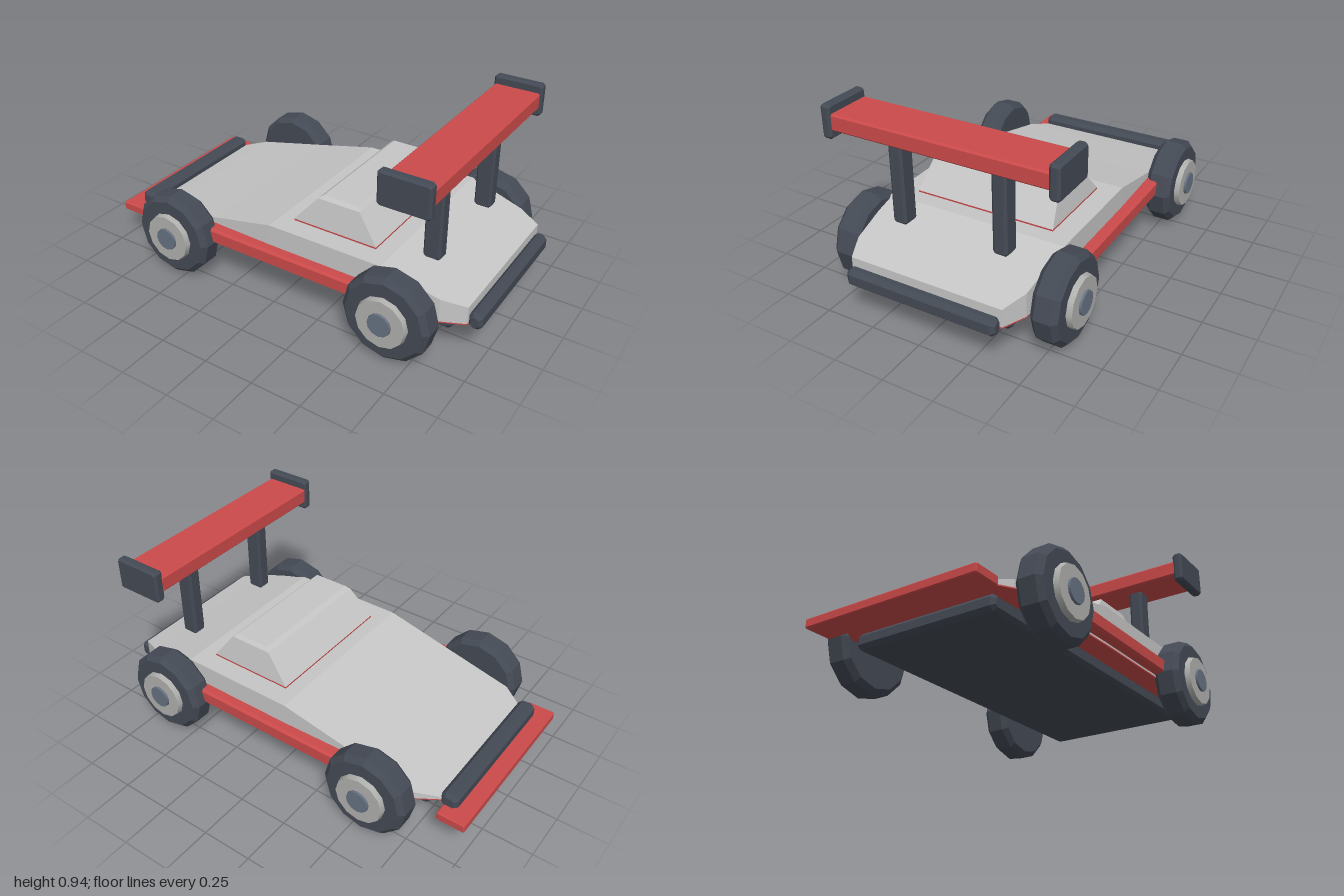
import * as THREE from 'three';

const mat = (name, color) => {
  const m = new THREE.MeshStandardMaterial({ color });
  m.name = name;
  return m;
};

// Box with chamfered edges, given by its min and max on each axis
function chamferBox([x0, x1], [y0, y1], [z0, z1], c) {
  const w = (x1 - x0) / 2, h = (y1 - y0) / 2, d = z1 - z0;
  const s = new THREE.Shape([
    [-w + c, -h], [w - c, -h], [w, -h + c], [w, h - c],
    [w - c, h], [-w + c, h], [-w, h - c], [-w, -h + c],
  ].map(([x, y]) => new THREE.Vector2(x, y)));
  const g = new THREE.ExtrudeGeometry(s, {
    depth: d - 2 * c, bevelEnabled: true, bevelSegments: 1,
    bevelThickness: c, bevelSize: c * 0.8, bevelOffset: -c * 0.8,
  });
  return g.translate((x0 + x1) / 2, (y0 + y1) / 2, z0 + c);
}

// Flat-shaded skin through closed rings of points, with end caps
function loft(rings) {
  const pos = [];
  const tri = (...pts) => pts.forEach((p) => pos.push(...p));
  const n = rings[0].length;
  for (let i = 0; i < rings.length - 1; i++) {
    for (let j = 0; j < n; j++) {
      const k = (j + 1) % n;
      const a = rings[i][j], b = rings[i + 1][j], c = rings[i + 1][k], d = rings[i][k];
      tri(a, b, c);
      tri(a, c, d);
    }
  }
  const first = rings[0], last = rings[rings.length - 1];
  for (let j = 1; j < n - 1; j++) {
    tri(first[0], first[j], first[j + 1]);
    tri(last[0], last[j + 1], last[j]);
  }
  const g = new THREE.BufferGeometry();
  g.setAttribute('position', new THREE.Float32BufferAttribute(pos, 3));
  g.computeVertexNormals();
  return g;
}

export function createModel() {
  const car = new THREE.Group();
  car.name = 'raceCar';
  const grey = mat('bodyGrey', 0xc6c6c6);
  const rimGrey = mat('rimGrey', 0xb0b0ae);
  const dark = mat('darkTrim', 0x444a55);
  const capBlue = mat('capBlueGrey', 0x667282);
  const red = mat('red', 0xcc4a4a);
  const add = (name, geo, m, parent = car) => {
    const mesh = new THREE.Mesh(geo, m);
    mesh.name = name;
    parent.add(mesh);
    return mesh;
  };

  // Wedge body: x, top height, half width
  const stations = [
    [-0.85, 0.215, 0.37], [-0.74, 0.24, 0.44], [-0.37, 0.32, 0.452], [-0.04, 0.395, 0.46],
    [0.55, 0.395, 0.46], [0.83, 0.318, 0.435], [0.94, 0.29, 0.385],
  ];
  const sections = (bottom, top) => stations.map(([x, t, w]) => {
    const y = top ?? t;
    return [[x, bottom, w], [x, y, w], [x, y, -w], [x, bottom, -w]];
  });
  add('body', loft(sections(0.203)), grey);
  add('bodyUnderside', loft(sections(0.197, 0.203)), red);

  // Cabin on a thin red base plate
  const ring = (y, x0, x1, w) => [[x0, y, w], [x0, y, -w], [x1, y, -w], [x1, y, w]];
  add('cabin', loft([
    ring(0.404, 0.03, 0.47, 0.36), ring(0.54, 0.147, 0.368, 0.335), ring(0.557, 0.17, 0.35, 0.32),
  ]), grey);
  add('cabinBase', loft([ring(0.396, 0.03, 0.47, 0.36), ring(0.404, 0.03, 0.47, 0.36)]), red);

  // Floor, bumpers and front splitter
  add('floor', chamferBox([-0.78, 0.86], [0.115, 0.193], [-0.37, 0.37], 0.02), dark);
  add('frontBumper', chamferBox([-0.925, -0.84], [0.177, 0.26], [-0.39, 0.39], 0.02), dark);
  add('rearBumper', chamferBox([0.935, 1.0], [0.175, 0.26], [-0.38, 0.38], 0.02), dark);
  add('frontSplitter', chamferBox([-1.0, -0.86], [0.155, 0.2], [-0.45, 0.45], 0.006), red);

  // Rear wing
  add('wing', chamferBox([0.59, 0.82], [0.815, 0.895], [-0.54, 0.54], 0.008), red);

  // Tyre outline: radius, distance from the inner face
  const tyreProfile = [
    [0, 0], [0.19, 0], [0.215, 0.025], [0.215, 0.105], [0.19, 0.13], [0, 0.13],
  ].map(([r, y]) => new THREE.Vector2(r, y));

  for (const [side, s] of [['left', 1], ['right', -1]]) {
    const span = (a, b) => (s > 0 ? [a, b] : [-b, -a]);
    // Lower z is the model's right
    const label = s > 0 ? 'near' : 'far';
    add(label + 'SideSkirt', chamferBox([-0.5, 0.58], [0.212, 0.288], span(0.42, 0.512), 0.012), red);
    add(label + 'WingStrut', chamferBox([0.665, 0.75], [0.394, 0.825], span(0.223, 0.295), 0.012), dark);
    add(label + 'WingEndPlate', chamferBox([0.585, 0.83], [0.775, 0.937], span(0.53, 0.58), 0.012), dark);

    // Wheels: tyre, rim disc and hub cap
    for (const [end, x] of [['front', -0.557], ['rear', 0.637]]) {
      const wheel = new THREE.Group();
      wheel.name = `${end}${s > 0 ? 'Near' : 'Far'}Wheel`;
      const tyre = new THREE.LatheGeometry(tyreProfile, 12).toNonIndexed();
      tyre.computeVertexNormals();
      add('tyre', tyre, dark, wheel);
      add('rim', new THREE.CylinderGeometry(0.12, 0.125, 0.026, 12).translate(0, 0.143, 0), rimGrey, wheel);
      add('hubCap', new THREE.CylinderGeometry(0.056, 0.06, 0.03, 12).translate(0, 0.152, 0), capBlue, wheel);
      wheel.rotation.x = s * Math.PI / 2;
      wheel.position.set(x, 0.215, s * 0.45);
      car.add(wheel);
    }
  }
  return car;
}
